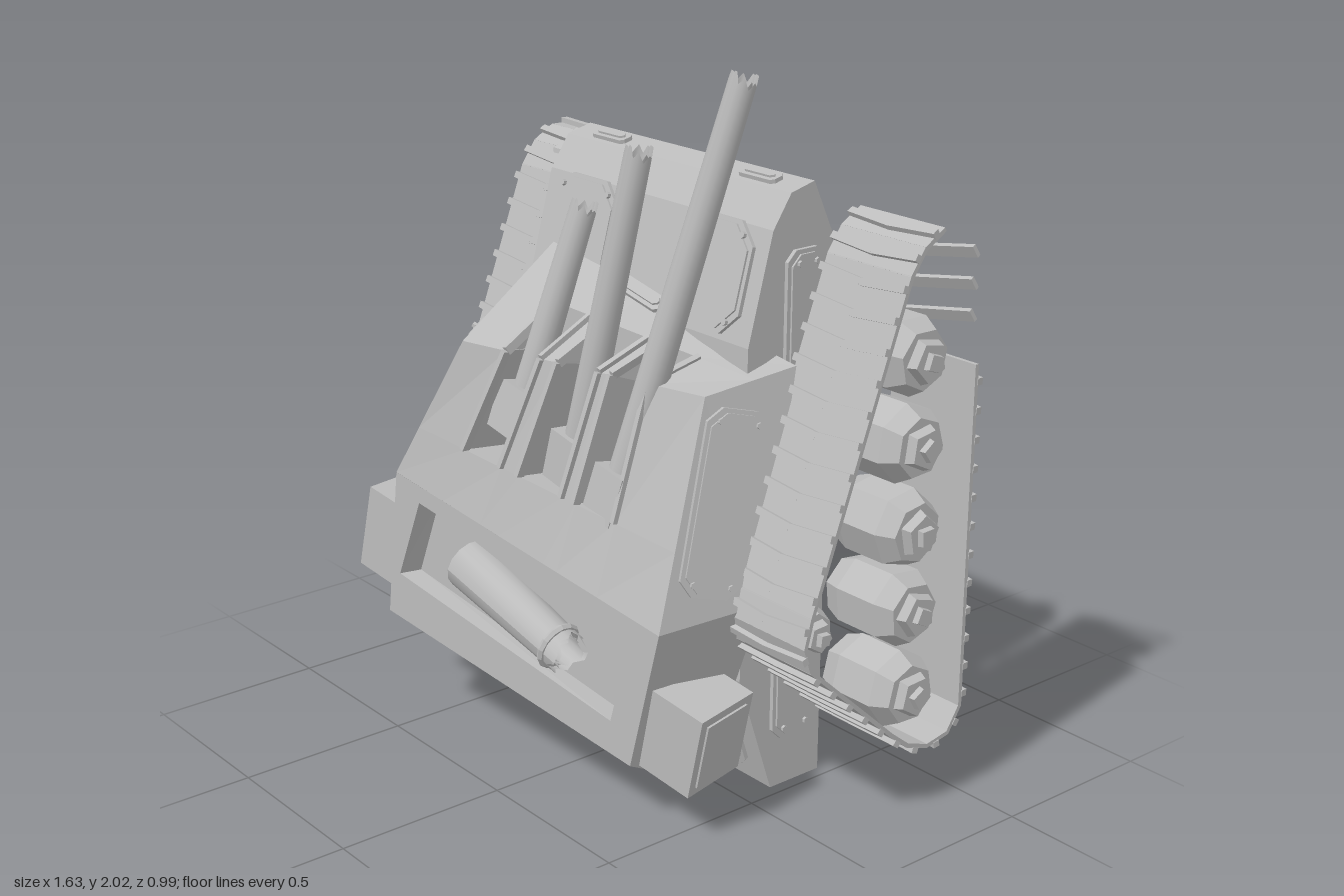
import * as THREE from 'three';

const grey = new THREE.MeshStandardMaterial({ color: 0xbcbcbc, side: THREE.DoubleSide });
grey.name = 'steel grey';
const V = (x, y, z) => new THREE.Vector3(x, y, z);
const mix = (a, b, t) => a.clone().lerp(b, t);

export function createModel() {
  const root = new THREE.Group();
  root.name = 'wreckedTank';

  // Faceted mesh helper
  const add = (parent, name, geo, pos) => {
    const g = geo.index ? geo.toNonIndexed() : geo;
    g.computeVertexNormals();
    const m = new THREE.Mesh(g, grey);
    m.name = name;
    if (pos) m.position.copy(pos);
    parent.add(m);
    return m;
  };
  // Flat polygons, each given by its corners in order
  const polys = (parent, name, list) => {
    const p = [];
    for (const f of list)
      for (let i = 1; i < f.length - 1; i++)
        for (const v of [f[0], f[i], f[i + 1]]) p.push(v.x, v.y, v.z);
    const g = new THREE.BufferGeometry();
    g.setAttribute('position', new THREE.Float32BufferAttribute(p, 3));
    return add(parent, name, g);
  };
  // Turn an object so its z follows the normal and its y follows up
  const face = (o, n, up) => {
    const z = n.clone().normalize();
    const x = up.clone().cross(z).normalize();
    o.quaternion.setFromRotationMatrix(new THREE.Matrix4().makeBasis(x, z.clone().cross(x), z));
  };
  const octagon = (w, h, c) => new THREE.Shape([
    [-w, -h + c], [-w + c, -h], [w - c, -h], [w, -h + c], [w, h - c], [w - c, h], [-w + c, h], [-w, h - c],
  ].map(([x, y]) => new THREE.Vector2(x, y)));

  // Bolted armour plate with chamfered corners
  const plate = (name, w, h, pos, n, up, bolts = true) => {
    const g = new THREE.Group();
    g.name = name;
    g.position.copy(pos);
    face(g, n, up);
    root.add(g);
    const c = Math.min(w, h) * 0.22;
    const slab = (k, d) => new THREE.ExtrudeGeometry(octagon(w / 2 - k, h / 2 - k, c), { depth: d, bevelEnabled: false });
    add(g, 'plateBase', slab(0, 0.012));
    add(g, 'plateFace', slab(0.012, 0.018));
    if (bolts) for (const sx of [-1, 1]) for (const sy of [-1, 1])
      add(g, 'bolt', new THREE.CylinderGeometry(0.009, 0.009, 0.01, 6).rotateX(Math.PI / 2),
        V(sx * (w / 2 - 0.035), sy * (h / 2 - 0.035), 0.021));
  };

  // Hull: side profile swept across the width
  const profile = [[-0.28, 0], [-0.1, 0], [0.02, 0.36], [0.01, 1.3], [-0.07, 1.6], [-0.13, 1.69], [-0.21, 1.71], [-0.28, 1.56]];
  const hullShape = new THREE.Shape(profile.map(([z, y]) => new THREE.Vector2(-z, y)));
  add(root, 'hull', new THREE.ExtrudeGeometry(hullShape, { depth: 0.935, bevelEnabled: false })
    .rotateY(Math.PI / 2).translate(-0.47, 0, 0));
  for (const s of [-1, 1]) {
    const side = V(s, 0, 0), up = V(0, 1, 0);
    plate('hullUpperPlate', 0.27, 0.3, V(s * 0.28, 1.46, -0.033), V(0, 0.27, 1), up);
    plate('hullLowerPlate', 0.37, 0.17, V(s * 0.215, 0.12, -0.06), V(0, -0.33, 1), up);
    plate('hullSideUpperPlate', 0.13, 0.34, V(s * 0.468, 1.37, -0.175), side, up);
    plate('hullSideLowerPlate', 0.15, 0.4, V(s * 0.468, 0.35, -0.165), side, up);
    plate('hullTopHatch', 0.14, 0.045, V(s * 0.31, 1.698, -0.165), V(0, 1, 0.25), V(0, 0, -1), false);
    for (let i = 0; i < 3; i++)
      add(root, 'ventSlat', new THREE.BoxGeometry(0.22, 0.006, 0.012), V(s * 0.215, 0.09 + i * 0.03, -0.047 + i * 0.01));
  }

  // Turret corners: front ring, rear ring and the ring at the hull
  const F = { BL: V(-0.53, 0.36, 0.492), LM: V(-0.48, 0.8, 0.484), TL: V(-0.27, 1.22, 0.39), TR: V(0.46, 1.2, 0.15), RM: V(0.5, 0.6, 0.333), BR: V(0.4, 0.19, 0.348) };
  const B = { BL: V(-0.65, 0.28, 0.28), LM: V(-0.61, 0.74, 0.18), TL: V(-0.32, 1.43, 0.04), TR: V(0.53, 1.25, -0.1), RM: V(0.57, 0.63, 0.04), BR: V(0.38, 0.05, 0.08) };
  const keys = ['BL', 'LM', 'TL', 'TR', 'RM', 'BR'];
  const C = {};
  for (const k of keys) C[k] = V(B[k].x * 0.75, 0.75 + (B[k].y - 0.75) * 0.8, Math.min(-0.01, B[k].z));
  const shell = [];
  keys.forEach((k, i) => {
    const n = keys[(i + 1) % 6];
    if (k !== 'TL') shell.push([F[k], F[n], B[n], B[k]]);
    shell.push([B[k], B[n], C[n], C[k]]);
  });
  polys(root, 'turretSides', shell);

  // Turret front with a sunken bay
  const plane = (x, y, d = 0) => V(x, y, 0.41 - 0.155 * x - d);
  const bay = [[-0.39, 0.73], [0.4, 0.56], [0.33, 0.3], [-0.48, 0.49]];
  const front = new THREE.Shape([F.BL, F.BR, F.RM, F.LM].map(v => new THREE.Vector2(v.x, v.y)));
  front.holes.push(new THREE.Path(bay.map(([x, y]) => new THREE.Vector2(x, y))));
  const frontGeo = new THREE.ShapeGeometry(front);
  const fp = frontGeo.attributes.position;
  for (let i = 0; i < fp.count; i++) fp.setZ(i, plane(fp.getX(i), 0).z);
  add(root, 'turretFront', frontGeo);
  const rim = bay.map(([x, y]) => plane(x, y)), floor = bay.map(([x, y]) => plane(x * 0.97, y, 0.06));
  polys(root, 'frontBay', [floor, ...rim.map((r, i) => [r, rim[(i + 1) % 4], floor[(i + 1) % 4], floor[i]])]);

  // Upper front and roof, cut by three gun slots
  const rows = [[F.LM, F.RM], [mix(F.LM, F.TL, 0.35), mix(F.RM, F.TR, 0.35)], [F.TL, F.TR],
    [mix(F.TL, B.TL, 0.55), mix(F.TR, B.TR, 0.55)], [B.TL, B.TR]];
  const us = [0, 0.19, 0.34, 0.41, 0.58, 0.63, 0.78, 1];
  const at = (r, u) => mix(rows[r][0], rows[r][1], u);
  const deck = [], slots = [];
  for (let i = 0; i < 7; i++) {
    const [a, b] = [us[i], us[i + 1]];
    for (let r = 0; r < 4; r++) {
      const q = [at(r, a), at(r, b), at(r + 1, b), at(r + 1, a)];
      if (i % 2 === 0 || r === 0 || r === 3) { deck.push(q); continue; }
      const sunk = q.map((v, k) => v.clone().add(r === 2 && k > 1 ? V(0, -0.12, 0) : V(0, -0.02, -0.17)));
      slots.push(sunk, [q[0], q[3], sunk[3], sunk[0]], [q[1], q[2], sunk[2], sunk[1]]);
      slots.push(r === 1 ? [q[0], q[1], sunk[1], sunk[0]] : [q[2], q[3], sunk[3], sunk[2]]);
    }
  }
  polys(root, 'turretDeck', deck);
  polys(root, 'gunSlots', slots);

  // Raised lips beside each slot
  const bar = (name, a, b, w, d) => {
    const m = add(root, name, new THREE.BoxGeometry(w, a.distanceTo(b), d), mix(a, b, 0.5));
    face(m, V(0, 0, 1).addScaledVector(b.clone().sub(a).normalize(), -b.clone().sub(a).normalize().z), b.clone().sub(a));
    return m;
  };
  for (let i = 1; i < 7; i++) {
    bar('slotLip', at(1, us[i]), at(2, us[i]), 0.015, 0.025);
    bar('slotLip', at(2, us[i]), at(3, us[i]), 0.015, 0.025);
  }

  // Gun barrels with torn muzzles and breech blocks
  const barrel = (name, a, b, r0, r1) => {
    const len = a.distanceTo(b), dir = b.clone().sub(a).normalize();
    const tube = (q0, q1) => {
      const g = new THREE.CylinderGeometry(q1, q0, len, 14, 1, true);
      const p = g.attributes.position;
      for (let i = 0; i < p.count; i++)
        if (p.getY(i) > 0) p.setY(i, len / 2 - [0, 0.03, 0.008, 0.035, 0.015, 0.025, 0][(i % 15) % 7]);
      g.computeVertexNormals();
      return g;
    };
    for (const [n, k] of [[name, 1], [name + 'Bore', 0.72]]) {
      const m = new THREE.Mesh(tube(r0 * k, r1 * k), grey);
      m.name = n;
      m.position.copy(mix(a, b, 0.5));
      m.quaternion.setFromUnitVectors(V(0, 1, 0), dir);
      root.add(m);
    }
  };
  const guns = [
    [V(-0.14, 1.0, 0.3), V(-0.03, 1.62, 0.15)],
    [V(0.04, 0.9, 0.25), V(0.215, 1.81, 0.165)],
    [V(0.22, 0.85, 0.255), V(0.44, 2.01, 0.012)],
  ];
  for (const [a, b] of guns) {
    barrel('gunBarrel', a, b, 0.046, 0.037);
    const dir = b.clone().sub(a).normalize();
    bar('breechBlock', a.clone().addScaledVector(dir, -0.03), a.clone().addScaledVector(dir, 0.11), 0.115, 0.12);
  }
  // Broken stub lying in the front bay
  const stubA = plane(-0.26, 0.57, 0.055), stubB = plane(0.19, 0.44, 0.0);
  barrel('brokenStub', stubA, stubB, 0.075, 0.06);
  const collar = add(root, 'stubCollar', new THREE.TorusGeometry(0.06, 0.012, 6, 14), mix(stubA, stubB, 0.88));
  collar.quaternion.setFromUnitVectors(V(0, 0, 1), stubB.clone().sub(stubA).normalize());

  // Turret plates
  const onQuad = (name, a, b, c, d, w, h, t, bolts) => {
    const lo = mix(a, b, t), hi = mix(d, c, t);
    const n = c.clone().sub(a).cross(d.clone().sub(b));
    const pos = mix(lo, hi, 0.5);
    if (n.dot(pos.clone().sub(V(0, 0.7, 0.1))) < 0) n.negate();
    plate(name, w, h, pos, n, hi.sub(lo), bolts);
  };
  onQuad('turretRightPlate', F.LM, B.LM, B.TL, F.TL, 0.2, 0.46, 0.5, true);
  onQuad('turretLeftPlate', F.RM, B.RM, B.TR, F.TR, 0.18, 0.5, 0.42, true);
  onQuad('turretUndersidePlate', F.BL, F.BR, B.BR, B.BL, 0.32, 0.06, 0.64, false);
  plate('roofHatch', 0.25, 0.05, V(0, 1.355, 0.01), V(0.2, 1, 0.6), V(0, 0, -1), false);

  // Stowage boxes on the turret corners
  const boxL = add(root, 'rightStowageBox', new THREE.BoxGeometry(0.17, 0.26, 0.17), V(-0.6, 0.56, 0.38));
  boxL.rotation.set(0, 0.17, -0.22);
  const boxR = add(root, 'leftStowageBox', new THREE.BoxGeometry(0.18, 0.25, 0.21), V(0.49, 0.29, 0.2));
  boxR.rotation.set(0.05, 0.17, -0.24);
  add(boxR, 'boxLid', new THREE.BoxGeometry(0.008, 0.2, 0.16), V(0.092, 0, 0));

  // Running gear
  const loop = [[-0.475, 0.27], [-0.475, 1.56], [-0.41, 1.63], [-0.3, 1.63], [-0.23, 1.55], [0.11, 0.63], [0.11, 0.56],
    [-0.26, 0.22], [-0.34, 0.185], [-0.43, 0.2], [-0.475, 0.27]];
  const path = new THREE.CurvePath();
  for (let i = 0; i < loop.length - 1; i++)
    path.add(new THREE.LineCurve3(V(0, loop[i][1], loop[i][0]), V(0, loop[i + 1][1], loop[i + 1][0])));

  const wheel = (parent, s, y, z, r) => {
    const g = new THREE.Group();
    g.name = 'roadWheel';
    g.position.set(s * 0.63, y, z);
    g.rotation.x = y * 9;
    parent.add(g);
    const disc = (name, r0, r1, w, x, n) =>
      add(g, name, new THREE.CylinderGeometry(r1, r0, w, n).rotateZ(-s * Math.PI / 2), V(s * x, 0, 0));
    disc('wheelDrum', r * 0.8, r, 0.06, -0.1, 7);
    disc('wheelRim', r, r, 0.14, 0, 7);
    disc('wheelTaper', r, r * 0.75, 0.05, 0.095, 7);
    disc('wheelHub', r * 0.62, r * 0.5, 0.03, 0.13, 5);
    disc('wheelNut', r * 0.3, r * 0.26, 0.02, 0.152, 4);
  };

  for (const s of [-1, 1]) {
    const g = new THREE.Group();
    g.name = s > 0 ? 'leftTrack' : 'rightTrack';
    root.add(g);
    const count = 42;
    const pts = path.getSpacedPoints(count);
    for (let i = 0; i < count; i++) {
      const a = pts[i], b = pts[i + 1], mid = mix(a, b, 0.5);
      if (s > 0 && mid.z < -0.35 && mid.y > 1.27) continue;
      const link = new THREE.Group();
      link.name = 'trackLink';
      link.position.copy(mid).setX(s * 0.663);
      const dir = b.clone().sub(a).normalize();
      face(link, V(0, 1, 0).multiplyScalar(dir.z).add(V(0, 0, -dir.y)), dir);
      g.add(link);
      add(link, 'linkPad', new THREE.BoxGeometry(0.3, a.distanceTo(b) + 0.004, 0.012));
      for (const k of [-1, 1])
        add(link, 'linkCleat', new THREE.BoxGeometry(0.153, 0.02, 0.018), V(k * 0.076, 0, 0.012)).rotation.z = -k * 0.08;
    }
    const ys = s > 0 ? [1.27, 1.03, 0.79, 0.56, 0.32] : [1.53, 1.27, 1.03, 0.79, 0.56];
    for (const y of ys) wheel(g, s, y, -0.345, 0.112);
    wheel(g, s, 0.6, 0.02, 0.08);
    // Loose links hanging across the torn gap
    if (s > 0) for (let i = 0; i < 3; i++)
      add(g, 'looseLink', new THREE.BoxGeometry(0.27, 0.035, 0.012), V(0.67, 1.36 + i * 0.085, -0.45)).rotation.set(0.5, 0.15, 0.1);
  }
  return root;
}
